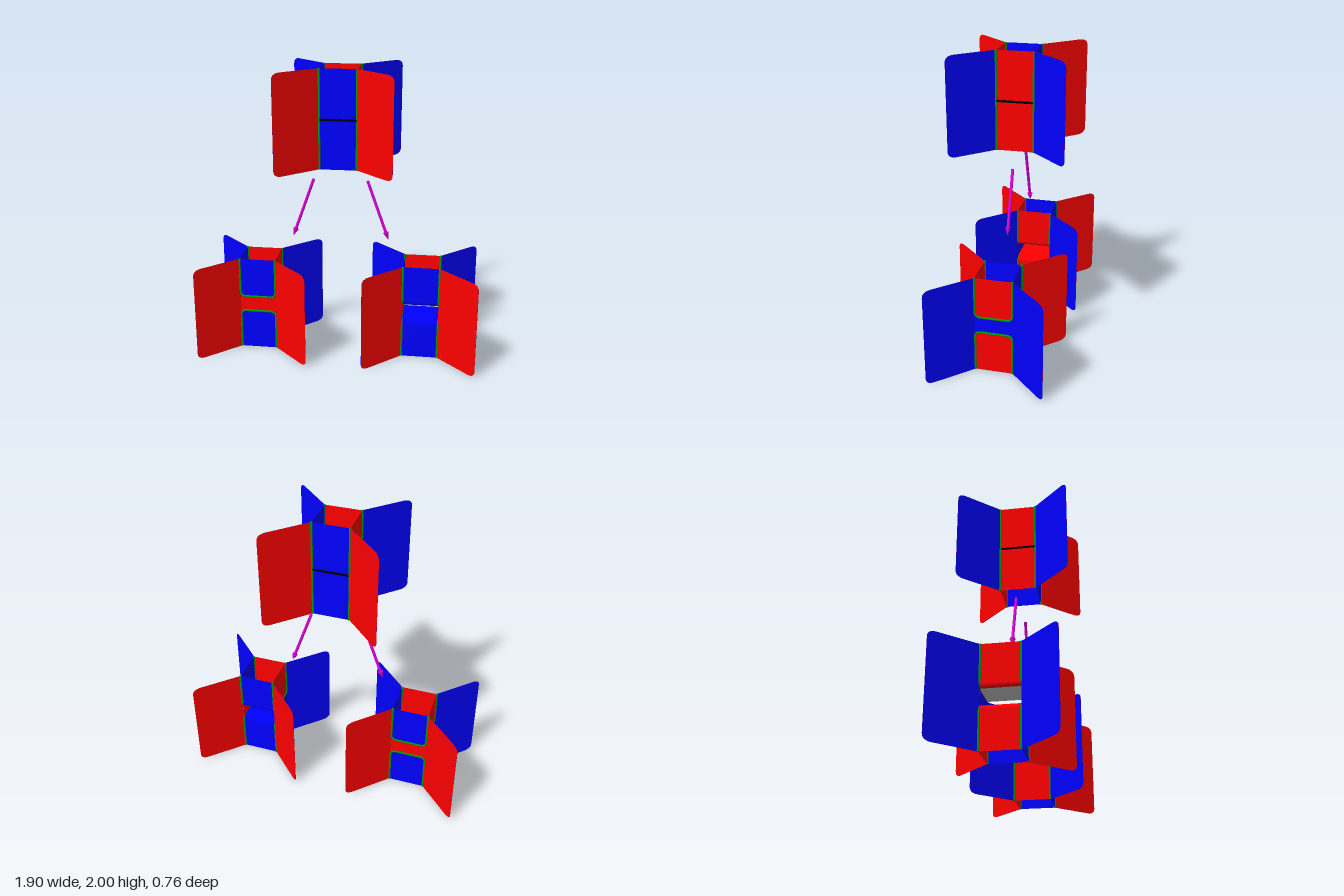
import * as THREE from 'three';

const W = 0.125;      // half width of the square tube
const H = 0.3333;     // half height of a unit
const GAP = 0.048;    // half height of the tunnel
const R = 0.035;      // bend radius at the tunnel mouth
const REACH = 0.38;   // how far the fins reach along x and z
const LINE = 0.008;   // radius of the border lines
const LAYER = 0.0008; // thickness of one coloured layer

const paint = (color) => new THREE.MeshStandardMaterial({ color });
const RED = paint(0xff0000), BLUE = paint(0x0000ff), GREEN = paint(0x009a00);
const CYAN = paint(0x00ffff), BLACK = paint(0x000000), GREY = paint(0xcccccc);
const MAGENTA = paint(0xe000e0);

function add(parent, name, geometry, material) {
  const mesh = new THREE.Mesh(geometry, material);
  mesh.name = name;
  parent.add(mesh);
  return mesh;
}

// Move every vertex outwards along its normal
function lift(geometry) {
  const pos = geometry.attributes.position, normal = geometry.attributes.normal;
  const p = new THREE.Vector3(), n = new THREE.Vector3();
  for (let i = 0; i < pos.count; i++) {
    p.fromBufferAttribute(pos, i).addScaledVector(n.fromBufferAttribute(normal, i), LAYER);
    pos.setXYZ(i, p.x, p.y, p.z);
  }
  return geometry;
}

// Sheet of two layers, one colour on each side
function addSheet(parent, name, geometry, front, back) {
  const flipped = geometry.clone();
  const index = flipped.index.array;
  for (let i = 0; i < index.length; i += 3) {
    [index[i], index[i + 1]] = [index[i + 1], index[i]];
  }
  flipped.computeVertexNormals();
  add(parent, name + 'Front', lift(geometry), front);
  add(parent, name + 'Back', lift(flipped), back);
}

// Flat panel from (u, y) points, on the side of the tube turned by angle
const sidePanel = (points, angle) =>
  new THREE.ShapeGeometry(new THREE.Shape(points)).translate(0, 0, W).rotateY(angle);

// Sheet across the tube width that follows (z, y) points
function stripAlong(points) {
  const geo = new THREE.PlaneGeometry(2 * W, 1, 1, points.length - 1);
  const pos = geo.attributes.position;
  for (let i = 0; i < pos.count; i++) {
    const p = points[Math.floor(i / 2)];
    pos.setXYZ(i, pos.getX(i), p.y, p.x);
  }
  geo.computeVertexNormals();
  return geo;
}

// Round border line along the (z, y) profile, closed at its two top ends
function addBorder(cup, profile, x) {
  const points = profile.map((p) => new THREE.Vector3(x, p.y < H ? p.y + LINE * 0.8 : p.y, p.x));
  const path = new THREE.CurvePath();
  for (let i = 1; i < points.length; i++) {
    path.add(new THREE.LineCurve3(points[i - 1], points[i]));
  }
  add(cup, 'borderLine', new THREE.TubeGeometry(path, 110, LINE, 8), GREEN);
  for (const end of [points[0], points.at(-1)]) {
    const cap = new THREE.CircleGeometry(LINE, 8).rotateX(-Math.PI / 2);
    add(cup, 'borderCap', cap, GREEN).position.copy(end);
  }
}

// Four thin diagonal fins with rounded outer corners, each of two coloured layers
function addFins(unit, zColor, xColor) {
  const r = 0.045, k = Math.SQRT2;
  const s = new THREE.Shape();
  s.moveTo(W * k, -H);
  s.lineTo((REACH - r) * k, -H);
  s.quadraticCurveTo(REACH * k, -H, REACH * k, -H + r);
  s.lineTo(REACH * k, H - r);
  s.quadraticCurveTo(REACH * k, H, (REACH - r) * k, H);
  s.lineTo(W * k, H);
  for (let i = 0; i < 4; i++) {
    for (const layer of [0, 1]) {
      const geo = new THREE.ExtrudeGeometry(s, { depth: LAYER, bevelEnabled: false, curveSegments: 8 });
      geo.translate(0, 0, -layer * LAYER).rotateY(-Math.PI / 4 + i * Math.PI / 2);
      add(unit, 'fin', geo, (i + layer) % 2 ? xColor : zColor);
    }
  }
}

// Square tube divided by a membrane
function closedUnit() {
  const unit = new THREE.Group();
  unit.name = 'closedUnit';
  addFins(unit, RED, BLUE);
  for (let i = 0; i < 4; i++) {
    const turn = i * Math.PI / 2;
    const wall = new THREE.PlaneGeometry(2 * W, 2 * H).translate(0, 0, W).rotateY(turn);
    addSheet(unit, 'tubeWall', wall, i % 2 ? RED : BLUE, i % 2 ? BLUE : RED);
    const edge = new THREE.CylinderGeometry(LINE, LINE, 2 * H, 12).translate(W, 0, W);
    add(unit, 'edgeLine', edge.rotateY(turn), GREEN);
    const rim = new THREE.CylinderGeometry(LINE, LINE, 2 * W, 12).rotateZ(Math.PI / 2);
    add(unit, 'membraneLine', rim.translate(0, 0, W).rotateY(turn), BLACK);
  }
  const membrane = new THREE.PlaneGeometry(2 * W, 2 * W).rotateX(-Math.PI / 2);
  addSheet(unit, 'membrane', membrane, CYAN, CYAN);
  return unit;
}

// Tube split in two by a tunnel running along its own z axis
function tunnelUnit(zWall, xWall, ceiling) {
  const unit = new THREE.Group();
  unit.name = 'tunnelUnit';
  addFins(unit, xWall, zWall);

  // U profile: down one wall, round the bend, and mirrored up the other
  const bend = [new THREE.Vector2(W, H)];
  for (let i = 0; i <= 8; i++) {
    const a = i / 8 * Math.PI / 2;
    bend.push(new THREE.Vector2(W - R + R * Math.cos(a), GAP + R - R * Math.sin(a)));
  }
  const mirrored = bend.map((p) => new THREE.Vector2(-p.x, p.y)).reverse();
  const profile = [...bend, ...mirrored];

  for (const half of [0, 1]) {
    const cup = new THREE.Group();
    cup.name = half ? 'lowerCup' : 'upperCup';
    cup.rotation.x = half * Math.PI;
    const pieces = half || !ceiling
      ? [[profile, zWall, xWall]]
      : [[profile.slice(0, 7), zWall, xWall],
        [profile.slice(6, 14), ceiling, ceiling],
        [profile.slice(13), zWall, xWall]];
    for (const [points, outer, inner] of pieces) {
      addSheet(cup, 'curvedWall', stripAlong(points), outer, inner);
    }
    for (const side of [-1, 1]) {
      addSheet(cup, 'window', sidePanel(profile, side * Math.PI / 2), xWall, zWall);
      addBorder(cup, profile, side * W);
    }
    unit.add(cup);
  }

  // Tunnel sides that join neighbouring fins between the windows
  const upper = profile.slice(1, -1);
  const lower = upper.map((p) => new THREE.Vector2(p.x, -p.y)).reverse();
  for (const side of [-1, 1]) {
    addSheet(unit, 'tunnelSide', sidePanel([...upper, ...lower], side * Math.PI / 2), zWall, xWall);
  }
  return unit;
}

// Slanted arrow pointing down to one of the lower units
function arrow(side) {
  const group = new THREE.Group();
  group.name = 'arrow';
  const start = new THREE.Vector3(side * 0.185, 1.23, 0);
  const dir = new THREE.Vector3(side * 0.332, 0.815, 0).sub(start);
  const length = dir.length(), head = 0.055;
  const shaft = new THREE.CylinderGeometry(0.01, 0.01, length - head, 16);
  add(group, 'arrowShaft', shaft.translate(0, (length - head) / 2, 0), MAGENTA);
  const tip = new THREE.ConeGeometry(0.019, head, 16);
  add(group, 'arrowHead', tip.translate(0, length - head / 2, 0), MAGENTA);
  group.position.copy(start);
  group.quaternion.setFromUnitVectors(new THREE.Vector3(0, 1, 0), dir.normalize());
  return group;
}

export function createModel() {
  const model = new THREE.Group();
  model.name = 'sheetTransition';

  const top = closedUnit();
  top.position.y = 2 - H;

  const left = tunnelUnit(BLUE, RED, null);
  left.position.set(0.57, H, 0);

  const right = tunnelUnit(RED, BLUE, GREY);
  right.rotation.y = Math.PI / 2;
  right.position.set(-0.57, H, 0);

  model.add(top, left, right, arrow(1), arrow(-1));
  return model;
}
